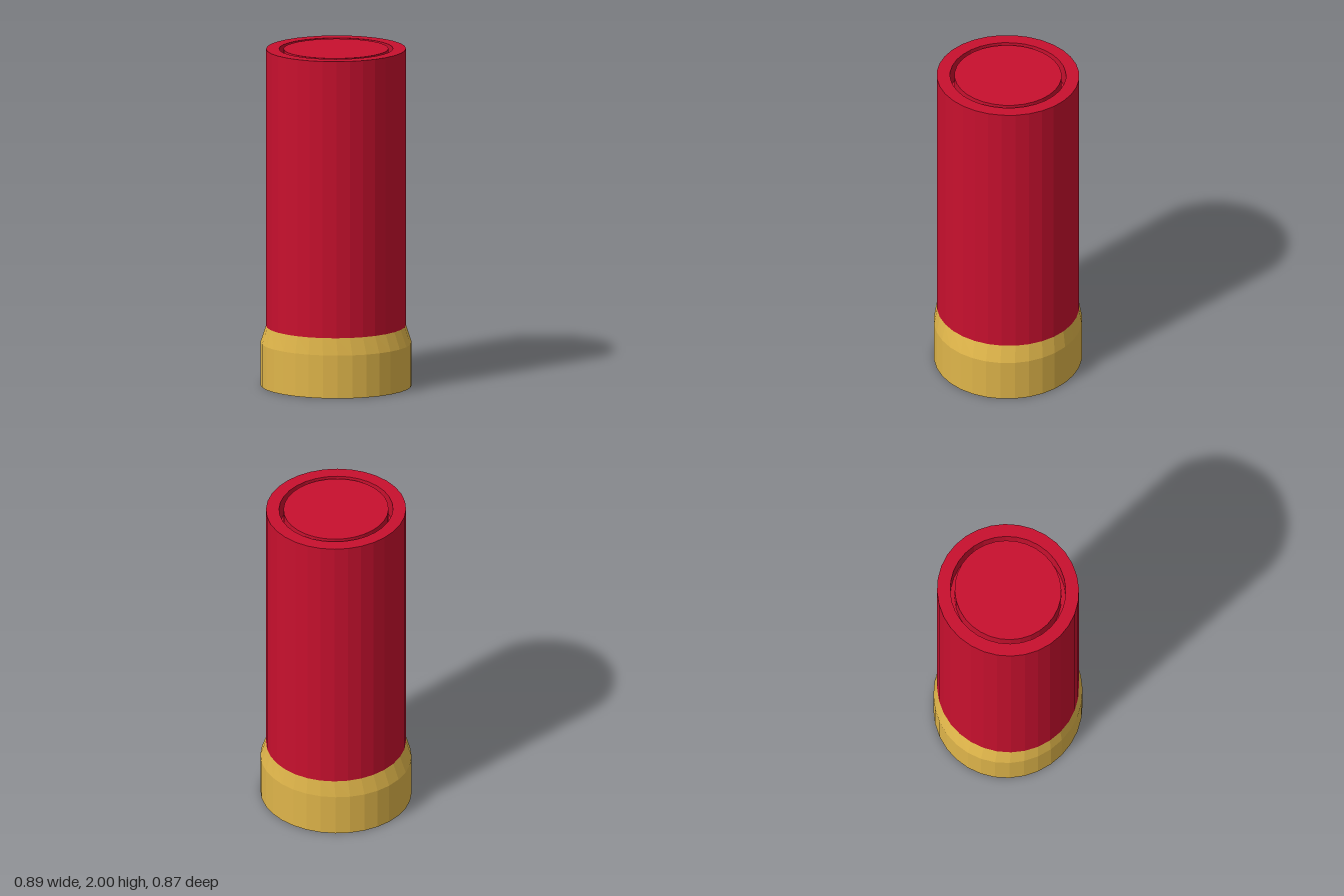
import * as THREE from 'three';

const SIDES = 32;

// Revolves rows of [x radius, y, z radius] into a slightly elliptical faceted solid.
function ellipticLathe(name, rows, color) {
  const geometry = new THREE.LatheGeometry(rows.map(([r, y]) => new THREE.Vector2(r, y)), SIDES);
  const pos = geometry.attributes.position;
  for (let i = 0; i < pos.count; i++) {
    const [rx, , rz] = rows[i % rows.length];
    if (rx > 0) pos.setZ(i, pos.getZ(i) * rz / rx);
  }
  geometry.computeVertexNormals();
  const mesh = new THREE.Mesh(geometry, new THREE.MeshStandardMaterial({ color, flatShading: true }));
  mesh.name = name;
  return mesh;
}

export function createModel() {
  const group = new THREE.Group();
  group.name = 'cartridge';

  // Brass cup: flat underside, straight wall, tapered shoulder
  group.add(ellipticLathe('brassBase', [
    [0, 0, 0],
    [0.444, 0, 0.433],
    [0.444, 0.255, 0.433],
    [0.408, 0.355, 0.418],
  ], 0xdfb54a));

  // Red tube with a rim, a narrow groove and a flush closing disc
  group.add(ellipticLathe('redCase', [
    [0.408, 0.355, 0.418],
    [0.408, 2, 0.418],
    [0.332, 2, 0.34],
    [0.332, 1.87, 0.34],
    [0.306, 1.87, 0.314],
    [0.306, 2, 0.314],
    [0, 2, 0],
  ], 0xc8102e));

  return group;
}
